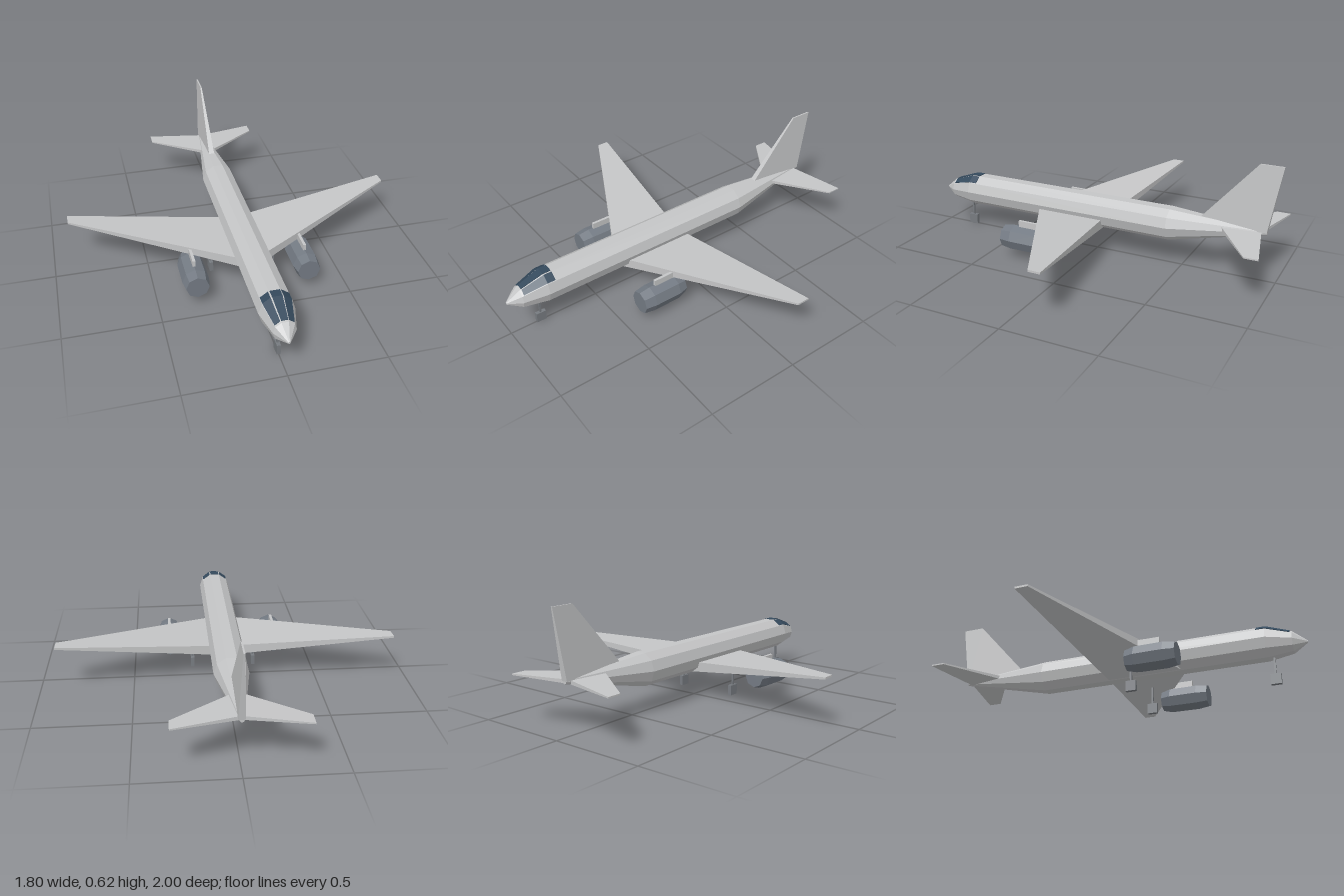
import * as THREE from 'three';

const material = (name, color) => Object.assign(new THREE.MeshStandardMaterial({ color }), { name });
const V = (x, y, z) => new THREE.Vector3(x, y, z);

// Closed, faceted solid through a list of equal-sized rings, always wound outward.
function loft(rings) {
  const tris = [];
  const n = rings[0].length;
  for (let i = 0; i < rings.length - 1; i++) {
    for (let j = 0; j < n; j++) {
      const k = (j + 1) % n;
      const a = rings[i][j], b = rings[i][k], c = rings[i + 1][k], d = rings[i + 1][j];
      tris.push([a, b, c], [a, c, d]);
    }
  }
  const first = rings[0], last = rings[rings.length - 1];
  for (let j = 1; j < n - 1; j++) {
    tris.push([first[0], first[j + 1], first[j]], [last[0], last[j], last[j + 1]]);
  }
  const origin = first[0];
  const volume = tris.reduce((sum, [a, b, c]) => sum + a.clone().sub(origin)
    .dot(b.clone().sub(origin).cross(c.clone().sub(origin))), 0);
  if (volume < 0) tris.forEach((t) => t.reverse());
  const geometry = new THREE.BufferGeometry().setFromPoints(tris.flat());
  geometry.computeVertexNormals();
  return geometry;
}

// Fuselage stations: z, centre height, radius
const STATIONS = [
  [-0.94, 0.264, 0.012],
  [-0.43, 0.225, 0.09],
  [0.8, 0.225, 0.09],
  [0.93, 0.212, 0.057],
  [1.0, 0.205, 0.006],
];
const SIDES = 10;

// Point on the hull at facet corner k (0 = right corner of the flat top)
function hullPoint(z, k, lift = 0) {
  let i = 0;
  while (i < STATIONS.length - 2 && z > STATIONS[i + 1][0]) i++;
  const [z0, y0, r0] = STATIONS[i], [z1, y1, r1] = STATIONS[i + 1];
  const t = (z - z0) / (z1 - z0);
  const r = THREE.MathUtils.lerp(r0, r1, t) + lift;
  const a = Math.PI * (0.4 + (k * 2) / SIDES);
  return V(r * Math.cos(a), THREE.MathUtils.lerp(y0, y1, t) + r * Math.sin(a), z);
}

// Window plate following facet k, inset from its edges
function windowPlate(k, inset) {
  const rings = [0.755, 0.8, 0.92].map((z) => {
    const edge = (lift) => {
      const p = hullPoint(z, k, lift), q = hullPoint(z, k + 1, lift);
      return [p.clone().lerp(q, inset), q.clone().lerp(p, inset)];
    };
    const [a, b] = edge(0.003), [c, d] = edge(-0.003);
    return [a, b, d, c];
  });
  return loft(rings);
}

// Flat panel station for wings: x, height, leading z, trailing z, thickness
const wingRing = (x, y, lead, trail, t) => [
  V(x, y - t / 2, lead), V(x, y + t / 2, lead), V(x, y + t / 2, trail), V(x, y - t / 2, trail),
];

export function createModel() {
  const body = material('light grey body', 0xc4c5c6);
  const engineGrey = material('engine grey', 0x737a83);
  const gearGrey = material('gear grey', 0x777b80);
  const glass = material('dark blue glass', 0x34495c);

  const model = new THREE.Group();
  model.name = 'airliner';
  const add = (name, geometry, mat, x = 0, y = 0, z = 0) => {
    const mesh = new THREE.Mesh(geometry, mat);
    mesh.name = name;
    mesh.position.set(x, y, z);
    model.add(mesh);
    return mesh;
  };

  // Fuselage
  add('fuselage', loft(STATIONS.map(([z]) =>
    Array.from({ length: SIDES }, (_, k) => hullPoint(z, k)))), body);

  // Cockpit windows: centre and two sides
  add('centreWindow', windowPlate(0, 0.06), glass);
  add('rightWindow', windowPlate(1, 0.08), glass);
  add('leftWindow', windowPlate(-1, 0.08), glass);

  // Tail fin
  const finRing = (y, lead, trail, h) => [V(-h, y, lead), V(h, y, lead), V(h, y, trail), V(-h, y, trail)];
  add('tailFin', loft([finRing(0.265, -0.57, -0.94, 0.017), finRing(0.615, -0.88, -1.0, 0.004)]), body);

  // Engine nacelle, eight-sided, axis along z
  const nacelle = new THREE.LatheGeometry(
    [[0, 0.15], [0.055, 0.15], [0.069, 0.2], [0.07, 0.35], [0.061, 0.41], [0, 0.41]]
      .map(([r, z]) => new THREE.Vector2(r, z)), 8).rotateX(Math.PI / 2).toNonIndexed();
  nacelle.computeVertexNormals();

  for (const [side, s] of [['left', 1], ['right', -1]]) {
    // Swept wing with upward slant
    add(side + 'Wing', loft([
      wingRing(0.02 * s, 0.168, 0.355, -0.05, 0.055),
      wingRing(0.9 * s, 0.267, -0.1, -0.165, 0.01),
    ]), body);
    // Horizontal tailplane
    add(side + 'Tailplane', loft([
      wingRing(0, 0.257, -0.69, -0.91, 0.02),
      wingRing(0.32 * s, 0.256, -0.91, -0.983, 0.007),
    ]), body);
    // Engine and its pylon
    add(side + 'Engine', nacelle, engineGrey, 0.297 * s, 0.11, 0);
    add(side + 'Pylon', new THREE.BoxGeometry(0.015, 0.045, 0.12), body, 0.297 * s, 0.188, 0.26);
  }

  // Landing gear: strut and wheel block
  for (const [name, x, z] of [['nose', 0, 0.828], ['left', 0.172, 0.125], ['right', -0.172, 0.125]]) {
    add(name + 'GearStrut', new THREE.BoxGeometry(0.01, 0.1, 0.01), gearGrey, x, 0.1, z);
    add(name + 'Wheel', new THREE.BoxGeometry(0.02, 0.055, 0.054), gearGrey, x, 0.0275, z);
  }
  return model;
}
